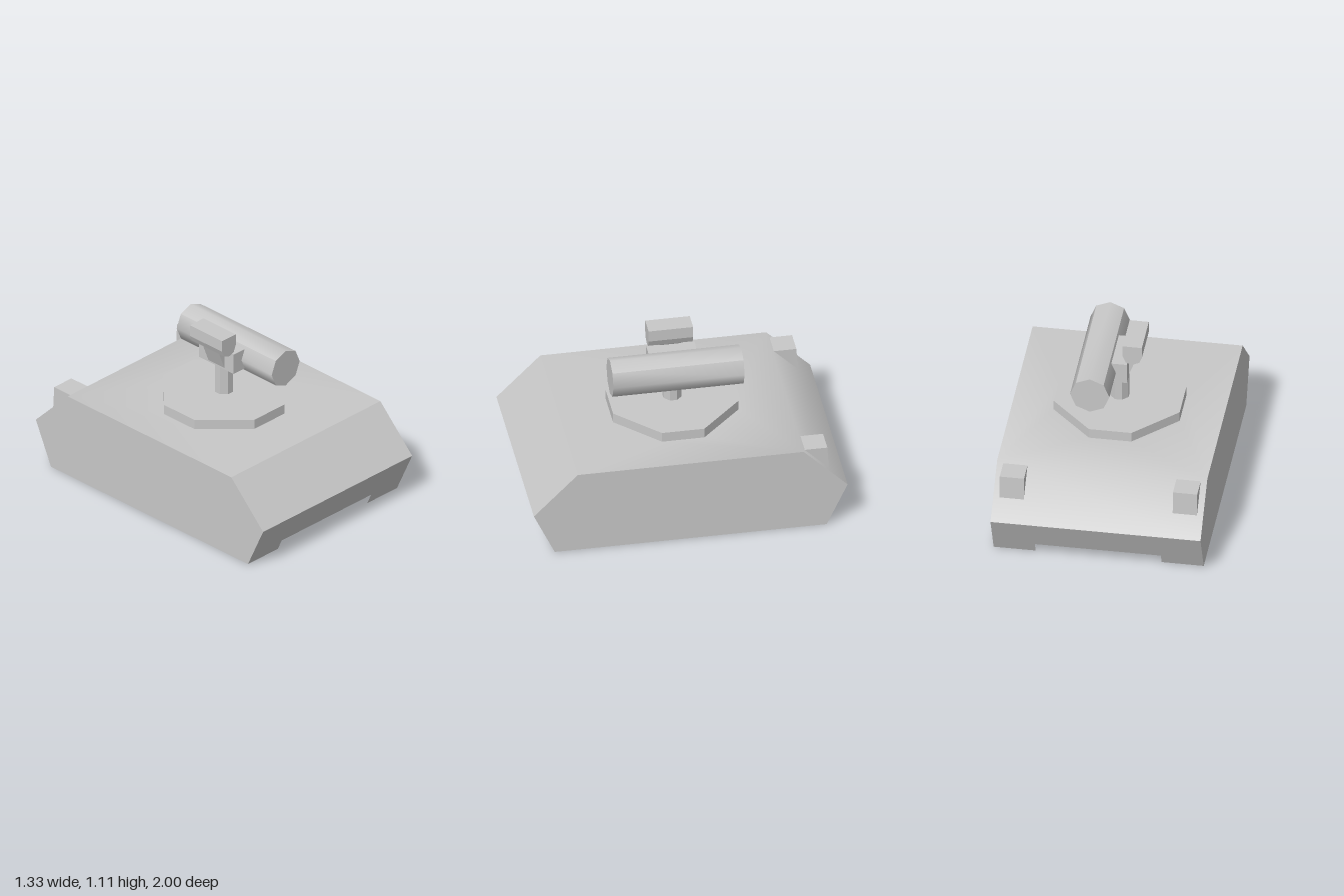
import * as THREE from 'three';
import { mergeGeometries, mergeVertices } from 'three/addons/utils/BufferGeometryUtils.js';

const W = 0.667, DECK = 0.57, MID = 0.287, RING_TOP = 0.636;

// octagon outline with flat half-width a and half side length b
const octagon = (a, b) => [[a, b], [b, a], [-b, a], [-a, b], [-a, -b], [-b, -a], [b, -a], [a, -b]];
const toShape = (pts) => new THREE.Shape(pts.map(([x, y]) => new THREE.Vector2(x, y)));

// flat outline (with an optional hole) whose vertices are moved into space by a rule
function plate(pts, rule, hole) {
  const shape = toShape(pts);
  if (hole) shape.holes.push(toShape(hole));
  const geo = new THREE.ShapeGeometry(shape);
  const pos = geo.attributes.position;
  for (let i = 0; i < pos.count; i++) pos.setXYZ(i, ...rule(pos.getX(i), pos.getY(i)));
  geo.computeVertexNormals();
  return geo;
}

// band swept from level a to level b along an outline; smooth along its run or faceted
function band(pts, a, b, rule, smooth = false) {
  const verts = pts.flatMap(([u, v]) => [...rule(u, v, a), ...rule(u, v, b)]);
  const index = [];
  for (let i = 0; i < pts.length - 1; i++) {
    const k = i * 2;
    index.push(k, k + 2, k + 1, k + 1, k + 2, k + 3);
  }
  let geo = new THREE.BufferGeometry();
  geo.setAttribute('position', new THREE.Float32BufferAttribute(verts, 3));
  geo.setIndex(index);
  if (!smooth) geo = geo.toNonIndexed();
  geo.computeVertexNormals();
  return geo;
}

// solid with a front outline and a z range
function prism(pts, z0, z1) {
  const geo = new THREE.ExtrudeGeometry(toShape(pts), { depth: z1 - z0, bevelEnabled: false });
  return geo.translate(0, 0, z0);
}

const rect = (x0, x1, y0, y1) => [[x0, y0], [x1, y0], [x1, y1], [x0, y1]];
const upright = (x, z, y) => [x, y, z];
const along = (x, y, z) => [x, y, z];

export function createModel() {
  const model = new THREE.Group();
  model.name = 'armouredVehicle';
  const grey = new THREE.MeshStandardMaterial({ color: 0xc8c8c8, side: THREE.DoubleSide });
  grey.name = 'plainGrey';
  const add = (name, geo, parent = model) => {
    const mesh = new THREE.Mesh(geo, grey);
    mesh.name = name;
    parent.add(mesh);
    return mesh;
  };
  const group = (name) => {
    const g = new THREE.Group();
    g.name = name;
    model.add(g);
    return g;
  };

  const ring = octagon(0.4, 0.135);
  const post = octagon(0.058, 0.022);
  const closed = (pts) => [...pts, pts[0]];

  // hull: an open-bottomed shell
  const hull = group('hull');
  const side = [[-0.867, 0], [0.867, 0], [1, MID], [0.72, DECK], [-0.72, DECK], [-1, MID]];
  for (const s of [-1, 1]) {
    add(s > 0 ? 'leftSide' : 'rightSide', plate(side, (z, y) => [s * W, y, z]), hull);
    // lower end plates with a notch between the track guards
    const notched = [[-W, 0], [-0.4, 0], [-0.4, 0.075], [0.4, 0.075], [0.4, 0], [W, 0], [W, MID], [-W, MID]];
    add(s > 0 ? 'lowerFront' : 'lowerBack',
      plate(notched, (x, y) => [x, y, s * (0.867 + 0.133 * y / MID)]), hull);
  }
  add('frontSlope', plate(rect(-W, W, 0, 1),
    (x, t) => [x, MID + t * (DECK - MID), 1 - 0.28 * t]), hull);

  // deck and rear slope flow smoothly into each other
  const deck = plate(rect(-W, W, -0.72, 0.72), (x, z) => [x, DECK, z], ring);
  const rear = plate(rect(-W, W, 0, 1), (x, t) => [x, MID + t * (DECK - MID), -1 + 0.28 * t]);
  for (const g of [deck, rear]) {
    g.deleteAttribute('normal');
    g.deleteAttribute('uv');
  }
  const deckAndRear = mergeVertices(mergeGeometries([deck, rear]), 1e-4);
  deckAndRear.computeVertexNormals();
  add('deckAndRearSlope', deckAndRear, hull);

  // rear lamp housings
  const lamp = [[-0.734, 0.556], [-0.878, 0.556], [-0.887, 0.4]];
  for (const s of [-1, 1]) {
    const housing = add(s > 0 ? 'leftRearLamp' : 'rightRearLamp', prism(lamp, -0.077, 0.077));
    housing.rotation.y = -Math.PI / 2;
    housing.position.x = s * 0.55;
  }

  // turntable, open below, and its post
  const turret = group('turret');
  add('turntableRim', band(closed(ring), DECK, RING_TOP, upright), turret);
  add('turntableTop', plate(ring, (x, z) => [x, RING_TOP, z], post), turret);
  add('post', band(closed(post), RING_TOP, 0.86, upright), turret);
  add('mountBlock', prism(rect(-0.068, 0.032, 0.84, 0.98), -0.155, 0.152), turret);

  // launch tube: smooth lower wall, creased where the two top facets begin
  const tube = group('launchTube');
  const circle = Array.from({ length: 9 }, (_, i) => {
    const a = Math.PI / 4 + i * Math.PI / 4;
    return [0.127 + 0.125 * Math.cos(a), 0.91 + 0.125 * Math.sin(a)];
  });
  add('tubeTop', band(circle.slice(0, 3), 0.418, -0.418, along, true), tube);
  add('tubeWall', band(circle.slice(2), 0.418, -0.418, along, true), tube);
  for (const s of [-1, 1]) {
    add(s > 0 ? 'tubeFrontCap' : 'tubeBackCap',
      plate(circle.slice(0, 8), (x, y) => [x, y, s * 0.418]), tube);
  }

  // sight and its bracket
  add('sight', prism([[-0.161, 1.112], [-0.161, 1.035], [-0.144, 0.995], [-0.1, 0.976],
    [-0.058, 0.99], [-0.039, 1.035], [-0.039, 1.112]], -0.142, 0.142), turret);
  add('sightBracket', prism([[-0.12, 0.985], [-0.066, 0.845], [-0.066, 0.98], [-0.055, 1.0]],
    -0.07, 0.07), turret);

  return model;
}
